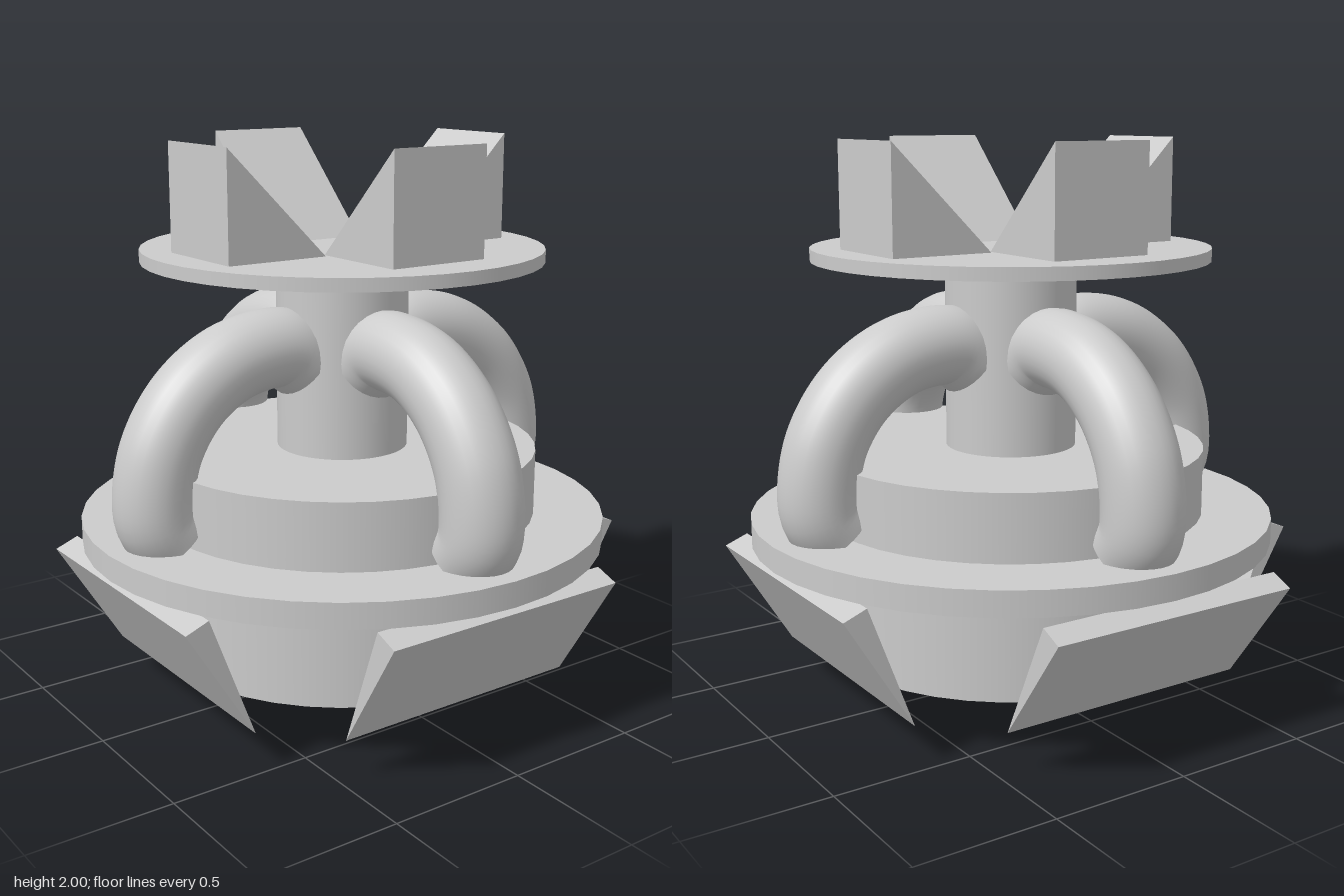
import * as THREE from 'three';

const material = new THREE.MeshStandardMaterial({ color: 0xcccccc });
const AXIS_X = 0.0125;

export function createModel() {
  const model = new THREE.Group();
  const body = new THREE.Group();
  body.name = 'body';
  body.position.x = AXIS_X;
  model.add(body);

  const add = (parent, name, geometry) => {
    const mesh = new THREE.Mesh(geometry, material);
    mesh.name = name;
    parent.add(mesh);
    return mesh;
  };

  // Upright round part between two heights
  const disc = (name, radius, y0, y1) => {
    const g = new THREE.CylinderGeometry(radius, radius, y1 - y0, 40);
    add(body, name, g).position.y = (y0 + y1) / 2;
  };

  // Prism with a (distance from axis, height) profile, centred across its width
  const prism = (profile, width) => {
    const shape = new THREE.Shape(profile.map(([r, y]) => new THREE.Vector2(r, y)));
    const g = new THREE.ExtrudeGeometry(shape, { depth: width, bevelEnabled: false });
    return g.translate(0, 0, -width / 2);
  };

  // Round core
  disc('shaft', 0.236, 0, 1.6);
  disc('bottomPlate', 0.472, 0.1, 0.2);
  disc('lowerDrum', 0.711, 0.195, 0.6);
  disc('upperDrum', 0.701, 0.6, 0.905);
  disc('flange', 0.95, 0.577, 0.667);
  disc('topDisc', 0.711, 1.58, 1.625);

  // Handle centre line: an arc symmetric about its diagonal, tucked in at both ends
  const half = [[0.425, -0.12], [0.472, -0.06], [0.482, 0.02], [0.448, 0.186]];
  const offsets = [...half, [0.343, 0.343], ...half.map(([a, b]) => [b, a]).reverse()];
  const path = new THREE.CatmullRomCurve3(
    offsets.map(([a, b]) => new THREE.Vector3(0.295 + a, 0.81 + b, 0)));
  const tube = new THREE.TubeGeometry(path, 48, 0.14, 28, false);
  const cap = new THREE.CircleGeometry(0.14, 28);

  // Four-way repeated parts: right, back, left, front
  const sides = ['right', 'back', 'left', 'front'];
  sides.forEach((side, k) => {
    const arm = new THREE.Group();
    arm.name = side + 'Side';
    arm.rotation.y = k * Math.PI / 2;
    body.add(arm);

    // Curved handle with a closed lower end
    add(arm, side + 'Handle', tube);
    const end = add(arm, side + 'HandleEnd', cap);
    end.position.copy(path.getPoint(0));
    end.quaternion.setFromUnitVectors(
      new THREE.Vector3(0, 0, 1), path.getTangent(0).negate());

    // Tilted skirt panel; the left one sits slightly further out
    const panel = side === 'left'
      ? [[0.70, 0.15], [0.978, 0.535], [0.898, 0.57]]
      : [[0.684, 0.14], [0.932, 0.545], [0.848, 0.577]];
    add(arm, side + 'Panel', prism(panel, 0.947));

    // Ramp on the top disc, rising outwards
    const inner = k % 2 ? 0.202 : 0.1625;
    const outer = inner + 0.377;
    add(arm, side + 'Ramp', prism([[inner, 1.625], [outer, 1.625], [outer, 2]], 0.377));
  });

  return model;
}
